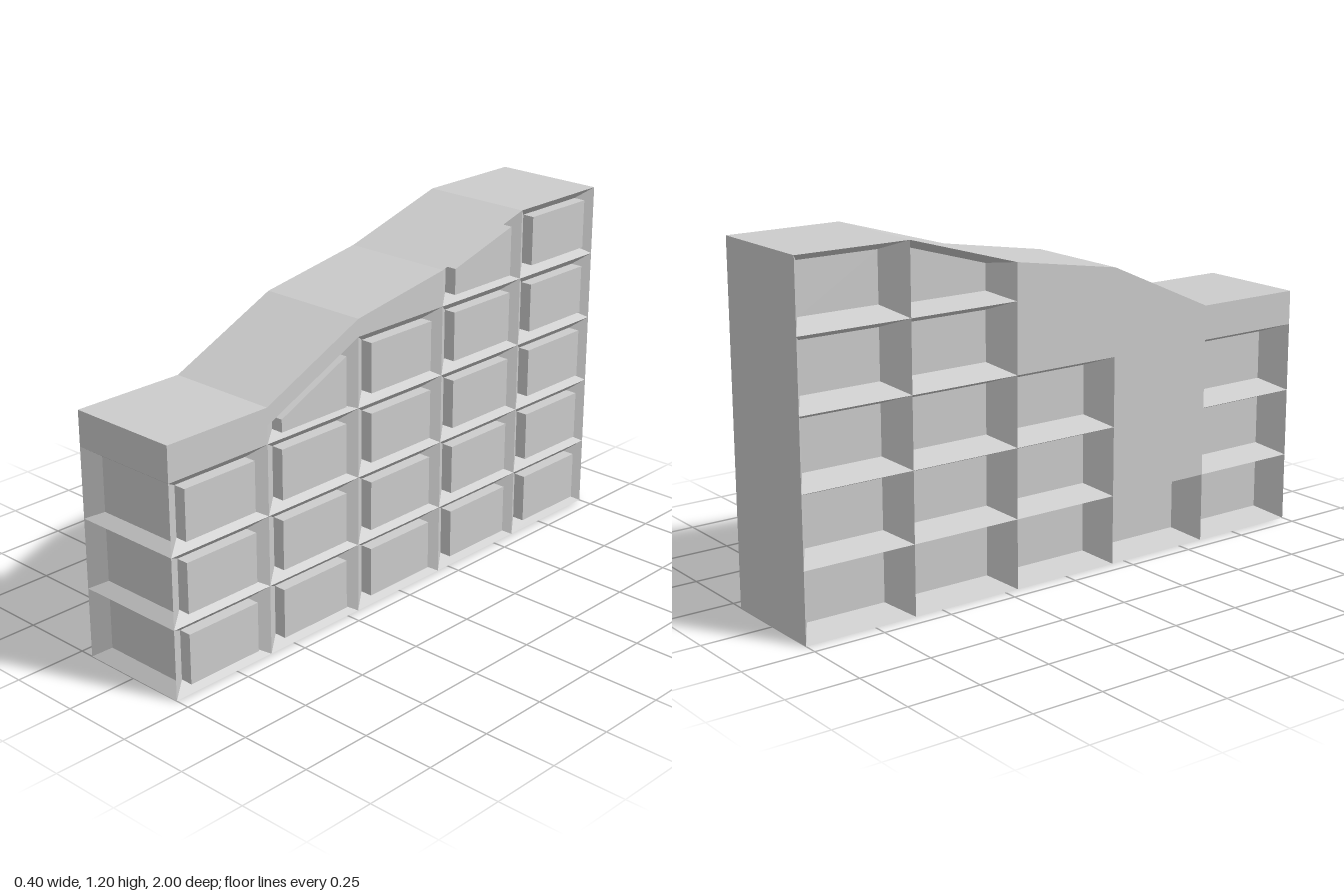
import * as THREE from 'three';

const HALF = 0.2, ROW = 0.24;
const PIT = 0.04, DEEP_PIT = 0.09, FRONT_PIT = 0.035, PROUD = 0.003;
const material = new THREE.MeshStandardMaterial({ color: 0xcccccc, flatShading: true, side: THREE.DoubleSide });

// Stepped roof line from front to back as [z, y]
const roofLine = [[1, 0.84], [0.6, 0.84], [0.2, 1.02], [-0.2, 1.085], [-0.6, 1.2], [-1, 1.2]];

// Top of the panel grid in each bay: [rows, height at its front, height at its back]
const bays = [[3, 0.72, 0.72], [4, 0.78, 0.96], [4, 0.96, 0.96], [5, 1.085, 1.2], [5, 1.2, 1.2]];

// Cells left plain on the right-hand wall, as bay:row
const plain = new Set(['1:1', '1:2', '1:3', '2:3']);

// Mesh from convex polygons, each listed anticlockwise from outside
function facesMesh(name, polygons) {
  const positions = [];
  for (const p of polygons)
    for (let i = 1; i < p.length - 1; i++) positions.push(...p[0], ...p[i], ...p[i + 1]);
  const geometry = new THREE.BufferGeometry();
  geometry.setAttribute('position', new THREE.Float32BufferAttribute(positions, 3));
  geometry.computeVertexNormals();
  const mesh = new THREE.Mesh(geometry, material);
  mesh.name = name;
  return mesh;
}

// Shrink a flat outline towards its middle
function shrink(outline, scale) {
  const n = outline.length;
  const cu = outline.reduce((s, p) => s + p[0], 0) / n;
  const cv = outline.reduce((s, p) => s + p[1], 0) / n;
  return outline.map(([u, v]) => [cu + (u - cu) * scale, cv + (v - cv) * scale]);
}

// Quads joining two outlines that lie at different depths
function band(outer, d0, inner, d1, place) {
  return outer.map((a, i) => {
    const j = (i + 1) % outer.length;
    return [place(a, d0), place(outer[j], d0), place(inner[j], d1), place(inner[i], d1)];
  });
}

// Sloped recess, optionally filled by a block that comes back to the wall face
function recess(outer, inner, depth, place, withBlock) {
  const faces = band(outer, 0, inner, depth, place);
  if (withBlock) faces.push(...band(inner, depth, inner, -PROUD, place));
  faces.push(inner.map(p => place(p, withBlock ? -PROUD : depth)));
  return faces;
}

// One long wall; side is +1 for the model's left and -1 for its right
function sideWall(side) {
  const group = new THREE.Group();
  group.name = side > 0 ? 'leftWall' : 'rightWall';
  const place = ([z, y], d) => [side * (HALF - d), y, z];
  const orient = outline => (side > 0 ? outline : outline.slice().reverse());
  bays.forEach(([rows, topFront, topBack], bay) => {
    const [zf, roofFront] = roofLine[bay], [zb, roofBack] = roofLine[bay + 1];
    for (let row = 0; row < rows; row++) {
      const y0 = row * ROW, last = row === rows - 1;
      const yf = last ? topFront : y0 + ROW, yb = last ? topBack : y0 + ROW;
      const outer = orient([[zf, y0], [zb, y0], [zb, yb], [zf, yf]]);
      if (side < 0 && plain.has(bay + ':' + row)) {
        group.add(facesMesh('plainPanel', [outer.map(p => place(p, 0))]));
      } else {
        const depth = side > 0 ? PIT : DEEP_PIT;
        const faces = recess(outer, shrink(outer, 0.71), depth, place, side > 0);
        group.add(facesMesh(side > 0 ? 'blockPanel' : 'recessedPanel', faces));
      }
    }
    // Plain strip between the panels and the roof
    if (roofFront - topFront > 0.01) {
      const strip = orient([[zf, topFront], [zb, topBack], [zb, roofBack], [zf, roofFront]]);
      group.add(facesMesh('eavesStrip', [strip.map(p => place(p, 0))]));
    }
  });
  return group;
}

// Short front wall with three recesses below a plain strip
function frontWall() {
  const group = new THREE.Group();
  group.name = 'frontWall';
  const place = ([x, y], d) => [x, y, 1 - d];
  const rect = (x0, x1, y0, y1) => [[x0, y0], [x1, y0], [x1, y1], [x0, y1]];
  for (let row = 0; row < 3; row++) {
    const y = row * ROW, innerY = 0.04 + row * 0.235;
    const faces = recess(rect(-HALF, HALF, y, y + ROW), rect(-0.14, 0.17, innerY, innerY + 0.185), FRONT_PIT, place, false);
    group.add(facesMesh('frontPanel', faces));
  }
  group.add(facesMesh('frontStrip', [rect(-HALF, HALF, 0.72, 0.84).map(p => place(p, 0))]));
  return group;
}

export function createModel() {
  const model = new THREE.Group();
  model.name = 'steppedPanelBlock';

  // Roof slopes
  const roof = [];
  for (let i = 0; i < roofLine.length - 1; i++) {
    const [z0, y0] = roofLine[i], [z1, y1] = roofLine[i + 1];
    roof.push([[-HALF, y0, z0], [HALF, y0, z0], [HALF, y1, z1], [-HALF, y1, z1]]);
  }
  model.add(facesMesh('roof', roof));

  // Plain back and underside
  model.add(facesMesh('backWall', [[[HALF, 0, -1], [-HALF, 0, -1], [-HALF, 1.2, -1], [HALF, 1.2, -1]]]));
  model.add(facesMesh('base', [[[-HALF, 0, -1], [HALF, 0, -1], [HALF, 0, 1], [-HALF, 0, 1]]]));

  model.add(sideWall(1), sideWall(-1), frontWall());
  return model;
}
